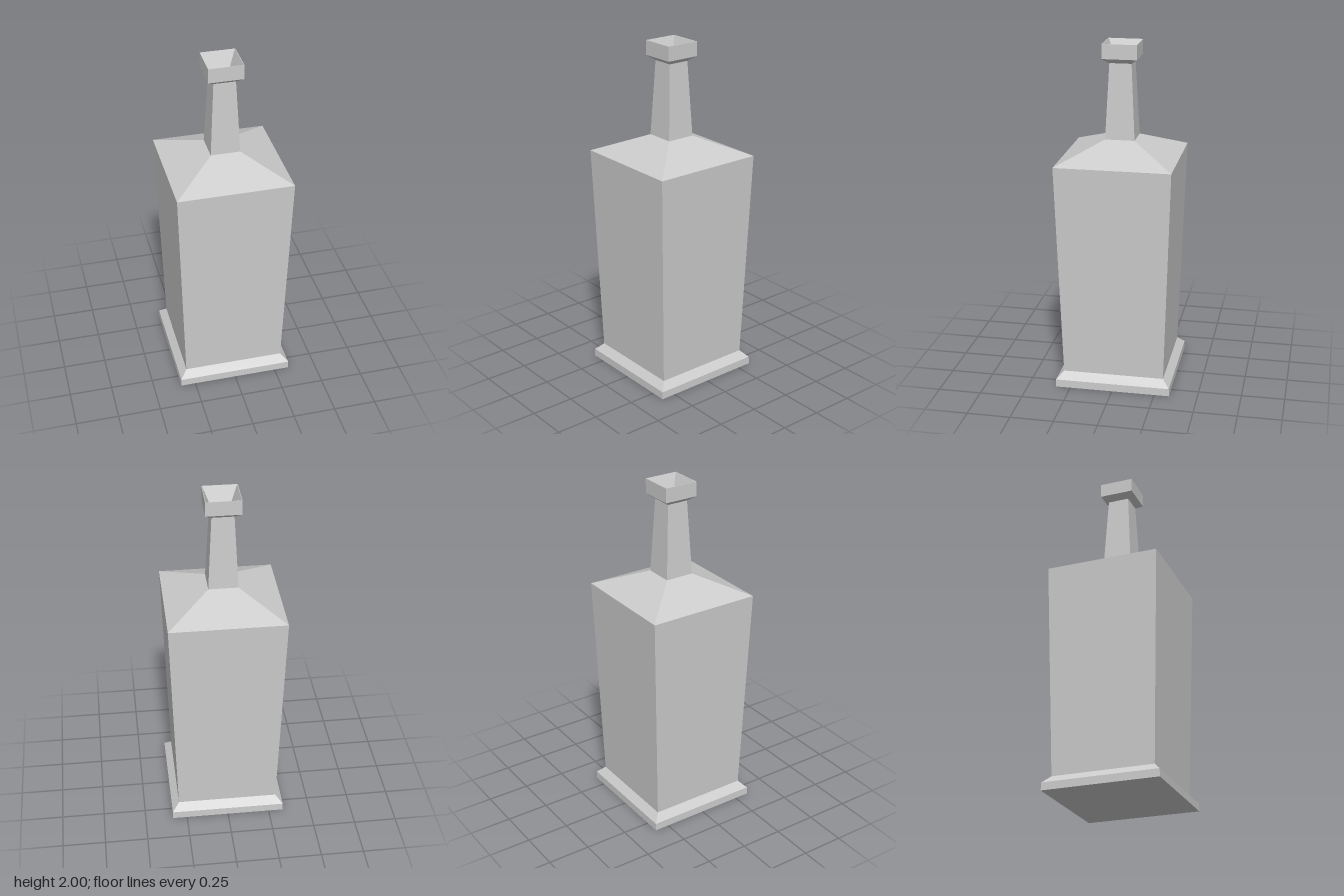
import * as THREE from 'three';

const material = new THREE.MeshStandardMaterial({ color: 0xcccccc, flatShading: true });

// Four-sided shell from [halfWidth, height] pairs, listed so faces point outward
function squareShell(name, profile) {
  const points = profile.map(([half, y]) => new THREE.Vector2(half * Math.SQRT2, y));
  const geometry = new THREE.LatheGeometry(points, 4, Math.PI / 4).toNonIndexed();
  geometry.computeVertexNormals();
  const mesh = new THREE.Mesh(geometry, material);
  mesh.name = name;
  return mesh;
}

export function createModel() {
  const bottle = new THREE.Group();
  bottle.name = 'squareBottle';
  bottle.add(
    // Closed foot with a bevelled top edge
    squareShell('base', [[0, 0], [0.337, 0], [0.336, 0.045], [0.295, 0.087]]),
    // Body widening upward
    squareShell('body', [[0.295, 0.087], [0.333, 1.343]]),
    // Sloped shoulder
    squareShell('shoulder', [[0.333, 1.343], [0.085, 1.453]]),
    // Tapered neck
    squareShell('neck', [[0.085, 1.453], [0.063, 1.888]]),
    // Flared lip with a thin rim
    squareShell('lip', [[0.063, 1.888], [0.1, 1.916], [0.1, 2], [0.097, 2]]),
    // Funnel-shaped mouth with a flat floor
    squareShell('mouth', [[0.097, 2], [0.059, 1.91], [0, 1.91]]),
  );
  return bottle;
}
